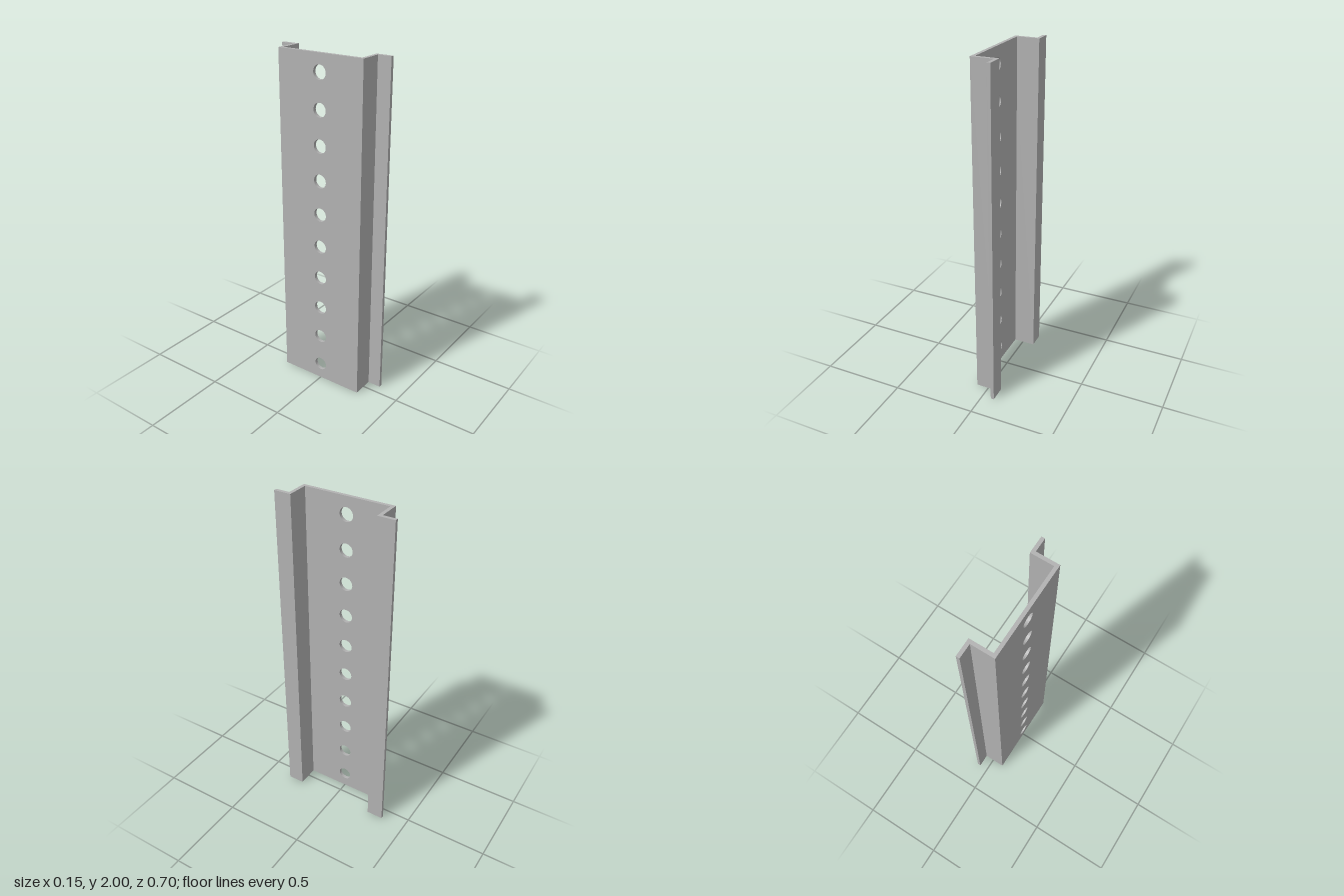
import * as THREE from 'three';

const HEIGHT = 2, THICK = 0.02;
const BACK = -0.075, FRONT = 0.075;        // x extent of the channel
const INNER = 0.25, OUTER = 0.35;          // z of side wall and flange edge
const HOLES = 10, HOLE_RADIUS = 0.04;

export function createModel() {
  const model = new THREE.Group();
  model.name = 'perforatedHatChannel';
  const steel = new THREE.MeshStandardMaterial({ color: 0xb2b2b2 });
  steel.name = 'grey steel';

  const add = (name, geometry) => {
    const mesh = new THREE.Mesh(geometry, steel);
    mesh.name = name;
    model.add(mesh);
  };

  // Web plate with a row of round holes, drawn in z-y and turned to face x
  const plate = new THREE.Shape([
    [-INNER, 0], [INNER, 0], [INNER, HEIGHT], [-INNER, HEIGHT],
  ].map(([z, y]) => new THREE.Vector2(z, y)));
  const pitch = HEIGHT / HOLES;
  for (let i = 0; i < HOLES; i++) {
    const hole = new THREE.Path();
    hole.absarc(0, pitch * (i + 0.5), HOLE_RADIUS, 0, Math.PI * 2, true);
    plate.holes.push(hole);
  }
  const web = new THREE.ExtrudeGeometry(plate, { depth: THICK, bevelEnabled: false, curveSegments: 24 });
  web.rotateY(-Math.PI / 2).translate(BACK + THICK, 0, 0);
  add('web', web);

  // Side wall and outward flange, one Z-shaped section on each side
  for (const side of [1, -1]) {
    const section = new THREE.Shape([
      [BACK, INNER], [FRONT, INNER], [FRONT, OUTER],
      [FRONT - THICK, OUTER], [FRONT - THICK, INNER + THICK], [BACK, INNER + THICK],
    ].map(([x, z]) => new THREE.Vector2(x, -side * z)));
    const rail = new THREE.ExtrudeGeometry(section, { depth: HEIGHT, bevelEnabled: false });
    rail.rotateX(-Math.PI / 2);
    add(side > 0 ? 'frontWallAndFlange' : 'backWallAndFlange', rail);
  }
  return model;
}
